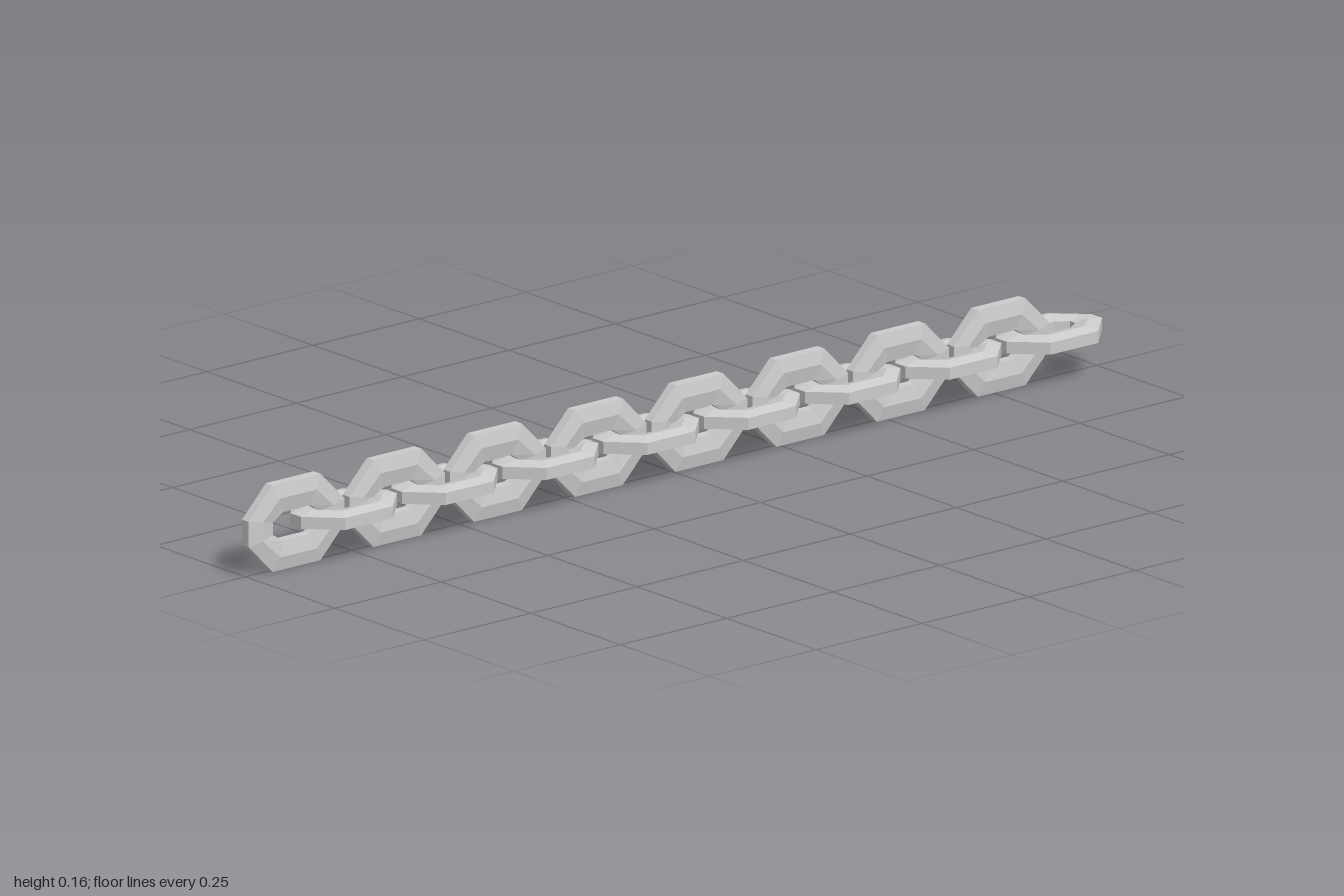
import * as THREE from 'three';

const LINKS = 16, HALF_LENGTH = 0.1125, MID_Y = 0.0815;
const PITCH = (2 - 2 * HALF_LENGTH) / (LINKS - 1);

// Octagonal loop: half length, half width, half of the long flat, half of the end flat
function octagon(a, b, flat, end) {
  return [[a, -end], [a, end], [flat, b], [-flat, b], [-a, end], [-a, -end], [-flat, -b], [flat, -b]];
}

// Closed link in the XY plane with a six-sided section: outer face, ridges, inner face
function linkGeometry(width, end, thick) {
  const outer = octagon(HALF_LENGTH, width, 0.056, end);
  const ridge = octagon(0.083, width * 0.68, 0.043, end * 0.75);
  const inner = octagon(0.056, width * 0.33, 0.031, end * 0.5);
  const edge = thick * 0.64;
  const rings = [[outer, -edge], [outer, edge], [ridge, thick], [inner, edge], [inner, -edge], [ridge, -thick]];
  const pos = [];
  const point = (r, i) => {
    const [loop, z] = rings[r % 6];
    return [...loop[i % 8], z];
  };
  for (let r = 0; r < 6; r++) {
    for (let i = 0; i < 8; i++) {
      const a = point(r, i), b = point(r, i + 1), c = point(r + 1, i + 1), d = point(r + 1, i);
      pos.push(...a, ...b, ...c, ...a, ...c, ...d);
    }
  }
  const geo = new THREE.BufferGeometry();
  geo.setAttribute('position', new THREE.Float32BufferAttribute(pos, 3));
  geo.computeVertexNormals();
  return geo;
}

export function createModel() {
  const chain = new THREE.Group();
  chain.name = 'chain';
  const metal = new THREE.MeshStandardMaterial({ color: 0xcccccc, flatShading: true });

  // Upright links are slightly taller and thinner than the flat ones
  const upright = linkGeometry(0.0815, 0.024, 0.0148);
  const flat = linkGeometry(0.0715, 0.015, 0.0176).rotateX(Math.PI / 2);

  // Alternate upright and flat links along x
  for (let i = 0; i < LINKS; i++) {
    const isUpright = i % 2 === 0;
    const link = new THREE.Mesh(isUpright ? upright : flat, metal);
    link.name = isUpright ? 'uprightLink' : 'flatLink';
    link.position.set(-1 + HALF_LENGTH + i * PITCH, MID_Y, 0);
    chain.add(link);
  }
  return chain;
}
